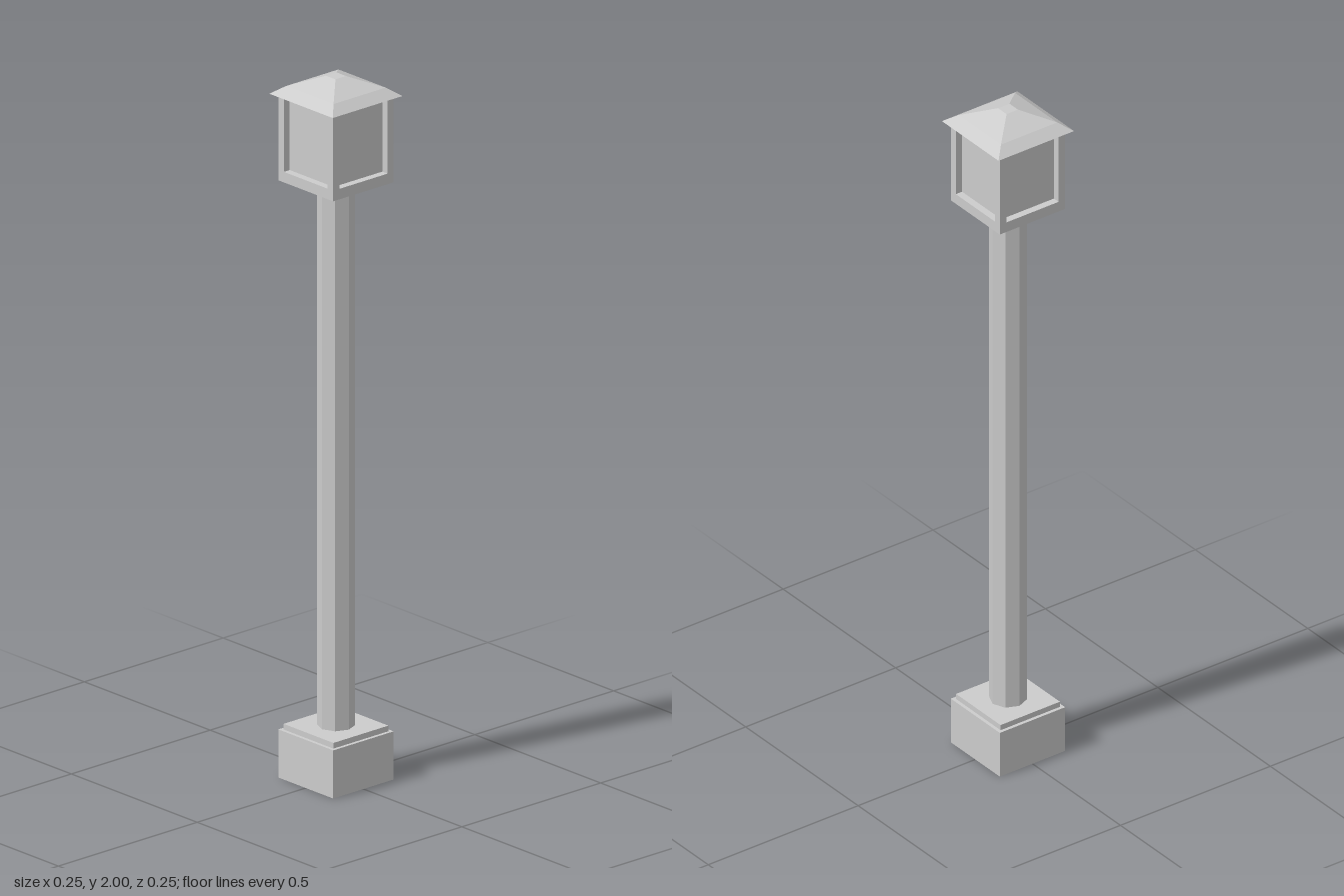
import * as THREE from 'three';

export function createModel() {
  const model = new THREE.Group();
  model.name = 'lampPost';
  const stone = new THREE.MeshStandardMaterial({ color: 0xcccccc, flatShading: true });
  stone.name = 'grey';

  function add(name, geometry, x, y, z, parent = model) {
    const mesh = new THREE.Mesh(geometry, stone);
    mesh.name = name;
    mesh.position.set(x, y, z);
    parent.add(mesh);
    return mesh;
  }
  // square block of half-width h between two heights
  const block = (name, h, y0, y1, x = 0, z = 0, parent = model) =>
    add(name, new THREE.BoxGeometry(2 * h, y1 - y0, 2 * h), x, (y0 + y1) / 2, z, parent);
  // square frustum, half-widths at bottom and top
  const frustum = (name, h0, h1, y0, y1, parent) =>
    add(name, new THREE.CylinderGeometry(h1 * Math.SQRT2, h0 * Math.SQRT2, y1 - y0, 4)
      .rotateY(Math.PI / 4), 0, (y0 + y1) / 2, 0, parent);

  // stepped base
  block('base', 0.109, 0, 0.137);
  block('baseStep', 0.099, 0.137, 0.153);

  // octagonal shaft, one edge facing forward
  add('shaft', new THREE.CylinderGeometry(0.051, 0.051, 1.547, 8), 0, 0.9265, 0);

  // lantern: floor slab, recessed panes, four corner posts
  const lantern = new THREE.Group();
  lantern.name = 'lantern';
  model.add(lantern);
  block('lanternFloor', 0.109, 1.7, 1.73, 0, 0, lantern);
  block('panes', 0.088, 1.73, 1.933, 0, 0, lantern);
  for (const sx of [-1, 1]) {
    for (const sz of [-1, 1]) {
      block('cornerPost', 0.011, 1.73, 1.948, sx * 0.098, sz * 0.098, lantern);
    }
  }

  // roof: steeper eave below a shallow hipped cap
  const roof = new THREE.Group();
  roof.name = 'roof';
  model.add(roof);
  frustum('eave', 0.126, 0.094, 1.946, 1.969, roof);
  frustum('roofCap', 0.094, 0.019, 1.969, 2, roof);

  return model;
}
